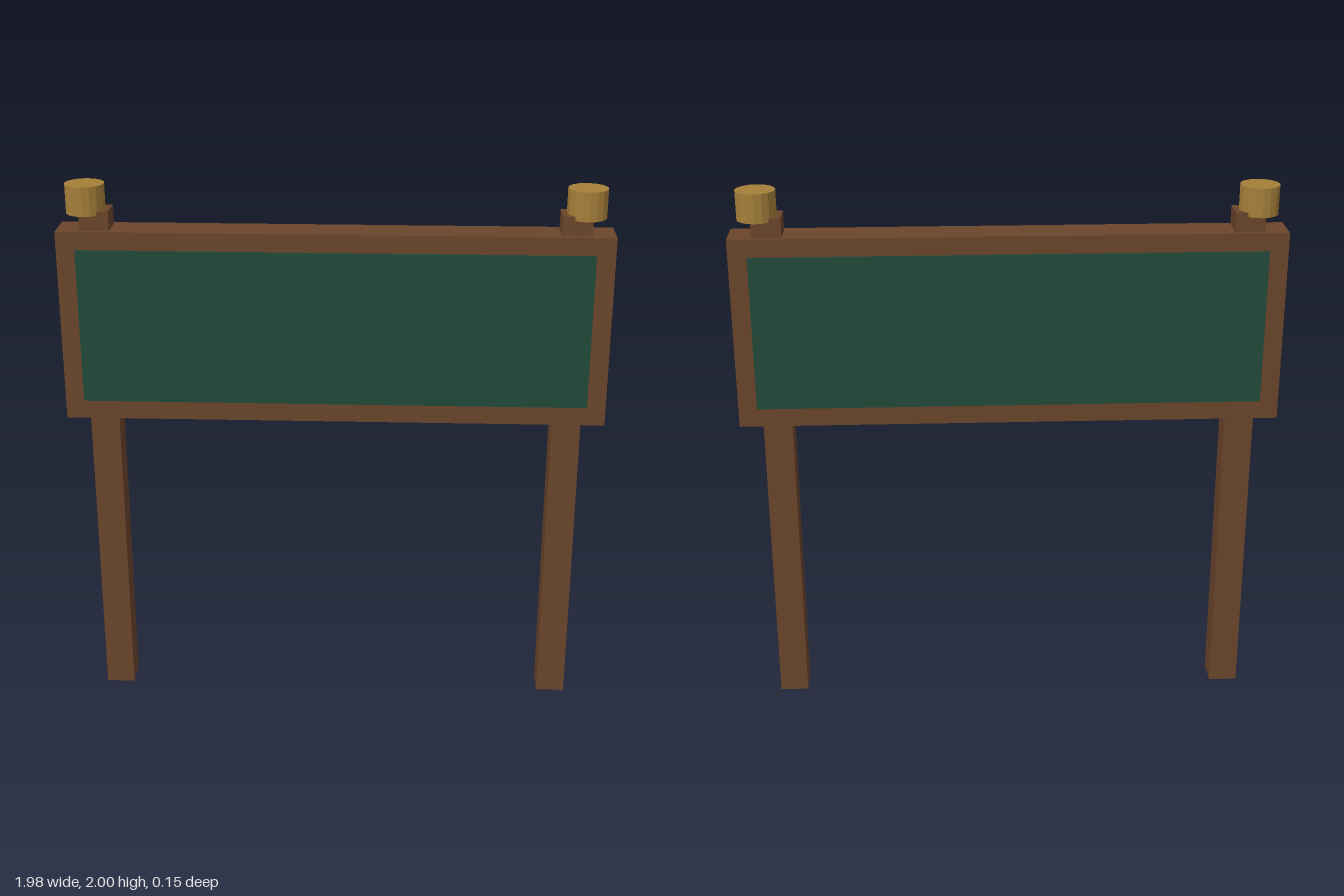
import * as THREE from 'three';

export function createModel() {
  const model = new THREE.Group();
  model.name = 'signBoard';

  const material = (name, color) => {
    const m = new THREE.MeshStandardMaterial({ color });
    m.name = name;
    return m;
  };
  const wood = material('brown wood', 0x6b452b);
  const green = material('dark green', 0x214a3a);
  const brass = material('brass', 0xa67f3a);
  brass.flatShading = true;

  const add = (name, geometry, mat, x, y, z) => {
    const mesh = new THREE.Mesh(geometry, mat);
    mesh.name = name;
    mesh.position.set(x, y, z);
    model.add(mesh);
  };

  // Wooden board
  add('board', new THREE.BoxGeometry(1.976, 0.705, 0.14), wood, 0, 1.488, 0);

  // Thin panels on the front and back
  const panel = new THREE.BoxGeometry(1.84, 0.57, 0.008);
  add('frontPanel', panel, green, 0, 1.49, 0.072);
  add('backPanel', panel, green, 0, 1.49, -0.072);

  // Posts and the round lamps on top, set slightly outward
  const post = new THREE.BoxGeometry(0.106, 1.91, 0.106);
  const lamp = new THREE.CylinderGeometry(0.071, 0.071, 0.105, 16);
  for (const [side, s] of [['left', 1], ['right', -1]]) {
    add(side + 'Post', post, wood, s * 0.85, 0.955, 0);
    add(side + 'Lamp', lamp, brass, s * 0.885, 1.9475, 0);
  }

  return model;
}
